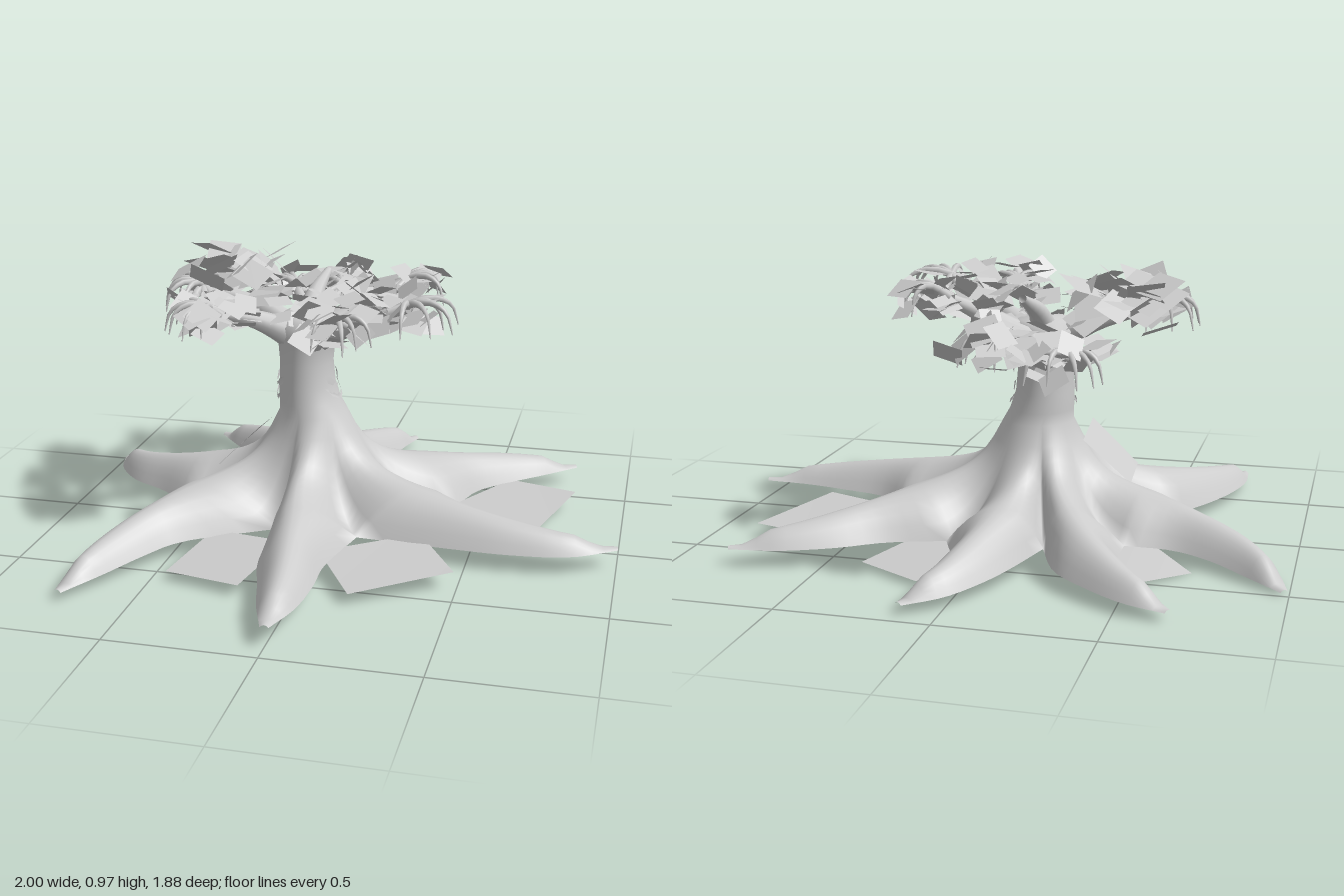
import * as THREE from 'three';
import { mergeGeometries, mergeVertices } from 'three/addons/utils/BufferGeometryUtils.js';

const V = (x, y, z) => new THREE.Vector3(x, y, z);
let seed = 11;
const rnd = () => (seed = (seed * 16807) % 2147483647) / 2147483647;
const spread = (s) => (rnd() * 2 - 1) * s;

// Skin a list of equal-length point rings
function loft(rings, closed) {
  const n = rings[0].length, pos = [], idx = [];
  rings.forEach((r) => r.forEach((p) => pos.push(p.x, p.y, p.z)));
  for (let i = 0; i < rings.length - 1; i++) {
    for (let j = 0; j < (closed ? n : n - 1); j++) {
      const a = i * n + j, b = i * n + (j + 1) % n;
      idx.push(a, a + n, b, b, a + n, b + n);
    }
  }
  const g = new THREE.BufferGeometry();
  g.setAttribute('position', new THREE.Float32BufferAttribute(pos, 3));
  g.setIndex(idx);
  return g;
}

// Round tube that narrows from r0 to r1
function taperTube(points, r0, r1, segs, sides) {
  const curve = new THREE.CatmullRomCurve3(points), rings = [];
  for (let i = 0; i <= segs; i++) {
    const c = curve.getPoint(i / segs), d = curve.getTangent(i / segs), r = r0 + (r1 - r0) * i / segs;
    const u = V(0, 0, 0).crossVectors(d, V(0.02, 1, 0.03)).normalize(), w = V(0, 0, 0).crossVectors(d, u);
    rings.push(Array.from({ length: sides }, (_, j) => {
      const a = -j / sides * Math.PI * 2;
      return c.clone().addScaledVector(u, Math.cos(a) * r).addScaledVector(w, Math.sin(a) * r);
    }));
  }
  const g = loft(rings, true);
  g.computeVertexNormals();
  return g;
}

// Trunk outline: y, min x, max x, min z, max z
const TRUNK = [
  [0.42, -0.225, 0.015, -0.222, 0.045], [0.46, -0.225, -0.008, -0.215, 0.036], [0.52, -0.225, -0.028, -0.21, 0.028],
  [0.6, -0.222, -0.035, -0.205, 0.025], [0.66, -0.228, -0.03, -0.212, 0.025], [0.7, -0.24, -0.015, -0.225, 0.03],
  [0.74, -0.25, 0.0, -0.235, 0.035], [0.77, -0.21, -0.04, -0.2, 0.0], [0.78, -0.13, -0.12, -0.11, -0.1],
];
function trunkPoint(y, a, grow = 0) {
  let i = 0;
  while (i < TRUNK.length - 2 && TRUNK[i + 1][0] < y) i++;
  const A = TRUNK[i], B = TRUNK[i + 1], t = (y - A[0]) / (B[0] - A[0]);
  const [, x0, x1, z0, z1] = A.map((v, k) => v + (B[k] - v) * t);
  return V((x0 + x1) / 2 + Math.cos(a) * ((x1 - x0) / 2 + grow), y, (z0 + z1) / 2 + Math.sin(a) * ((z1 - z0) / 2 + grow));
}

// Roots in order round the trunk: ridge [x, z] out to the tip, tip height
const ROOTS = [
  [[[0.2, 0.04], [0.5, 0.12], [0.82, 0.145], [1.0, 0.1]], 0.065],
  [[[0.14, -0.2], [0.35, -0.37], [0.57, -0.55], [0.8, -0.67]], 0.06],
  [[[-0.08, -0.35], [-0.03, -0.6], [0.03, -0.8], [0.12, -0.94]], 0.03],
  [[[-0.24, -0.34], [-0.37, -0.54], [-0.52, -0.7], [-0.67, -0.8]], 0.03],
  [[[-0.38, -0.12], [-0.62, -0.18], [-0.82, -0.29], [-0.985, -0.49]], 0.01],
  [[[-0.34, 0.08], [-0.54, 0.28], [-0.66, 0.52], [-0.735, 0.78]], 0.03],
  [[[-0.09, 0.18], [-0.05, 0.42], [-0.01, 0.7], [0.0, 0.93]], 0.065],
];
// Where each root's near side parts from its neighbour
const VALLEYS = [[0.12, 0.2], [0.4, -0.1], [0.13, -0.42], [-0.2, -0.42], [-0.45, -0.32], [-0.55, 0.05], [-0.18, 0.2]];
const N = 10;

// Trunk and roots as one smooth skin, hollow below
function trunkAndRoots() {
  const angles = VALLEYS.map(([x, z]) => Math.atan2(z + 0.088, x + 0.105));
  for (let i = 1; i < 7; i++) while (angles[i] > angles[i - 1]) angles[i] -= Math.PI * 2;
  angles.push(angles[0] - Math.PI * 2);
  const around = (k, j) => angles[k] + (angles[k + 1] - angles[k]) * j / N;
  const parts = [loft(TRUNK.map(([y]) => Array.from({ length: 7 * N }, (_, j) => trunkPoint(y, around(Math.floor(j / N), j % N)))).reverse(), true)];

  ROOTS.forEach(([path, tipY], k) => {
    const start = trunkPoint(0.42, around(k, N / 2));
    const ridge = new THREE.CatmullRomCurve3([V(start.x, 0, start.z), ...path.map(([x, z]) => V(x, 0, z))]);
    const edges = [0, 1].map((s) => {
      const [vx, vz] = VALLEYS[(k + s) % 7], top = trunkPoint(0.42, angles[(k + s) % 7]);
      const free = new THREE.CatmullRomCurve3([V(vx, 0.06, vz), ...[[0.49, 0.11], [0.66, 0.09], [0.84, 0.062], [1, 0.014]].map(([t, w]) => {
        const c = ridge.getPointAt(t), d = ridge.getTangentAt(t), sign = s ? 1 : -1;
        return V(c.x + d.z * w * sign, 0.06 + (tipY - 0.06) * t * t, c.z - d.x * w * sign);
      })]);
      return (row) => {
        if (row > 10) return free.getPoint((row - 10) / 14);
        const f = row / 10;
        return V(top.x + (vx - top.x) * f, 0.06 + 0.36 * (1 - f) ** 2.1, top.z + (vz - top.z) * f);
      };
    });
    const rings = [];
    for (let row = 0; row <= 24; row++) {
      const t = row <= 10 ? 0.32 * row / 10 : 0.32 + 0.68 * (row - 10) / 14;
      const L = edges[0](row), R = edges[1](row), M = ridge.getPointAt(t);
      const y = 0.16 * Math.exp(-t / 0.07) + 0.26 - 0.17 * t + (tipY - 0.06) * t * 0.6 - 0.06 * THREE.MathUtils.smoothstep(t, 0.85, 1);
      M.y = Math.max(y, (L.y + R.y) / 2 + 0.008);
      rings.push(Array.from({ length: N + 1 }, (_, j) => {
        if (row === 0) return trunkPoint(0.42, around(k, j));
        const u = j / N * 2 - 1, bend = L.clone().add(R).multiplyScalar(0.5).sub(M);
        return M.clone().addScaledVector(R.clone().sub(L), u / 2).addScaledVector(bend, u * u);
      }));
    }
    parts.push(loft(rings, false));
  });
  const skin = mergeVertices(mergeGeometries(parts));
  skin.computeVertexNormals();
  return skin;
}

// Leaf card, mostly lying flat
function leaf(p, size) {
  const g = new THREE.PlaneGeometry(size * (0.8 + rnd() * 0.4), size);
  g.rotateX(-Math.PI / 2 + spread(0.9));
  g.rotateZ(spread(0.6));
  g.rotateY(rnd() * 6.28);
  return g.translate(p.x, p.y, p.z);
}

// Flat four-cornered card
function card(corners) {
  const g = new THREE.BufferGeometry();
  g.setAttribute('position', new THREE.Float32BufferAttribute(corners.flat(), 3));
  g.setIndex([0, 2, 1, 0, 3, 2]);
  g.computeVertexNormals();
  return g;
}

// Carved face wrapped around the trunk at a heading
function faceGeometry(heading) {
  const outline = (pts) => new THREE.Shape(pts.map(([x, y]) => new THREE.Vector2(x, y)));
  const eye = (s) => outline([[s * 0.012, 0.527], [s * 0.035, 0.522], [s * 0.06, 0.535], [s * 0.07, 0.565], [s * 0.04, 0.552]]);
  const nose = outline([[-0.008, 0.513], [0.008, 0.513], [0, 0.526]]);
  const grin = [];
  for (let i = 0; i <= 12; i++) grin.push([-0.075 + i * 0.0125, 0.482 + 0.036 * ((i - 6) / 6) ** 2 + (i % 2) * 0.008]);
  for (let i = 11; i >= 1; i--) grin.push([-0.075 + i * 0.0125, 0.466 + 0.045 * ((i - 6) / 6) ** 2 + (i % 2) * 0.006]);
  const g = new THREE.ShapeGeometry([eye(1), eye(-1), nose, outline(grin)]);
  const p = g.attributes.position;
  for (let i = 0; i < p.count; i++) {
    const q = trunkPoint(p.getY(i), heading - p.getX(i) / 0.11, 0.009);
    p.setXYZ(i, q.x, q.y, q.z);
  }
  g.computeVertexNormals();
  return g;
}

export function createModel() {
  const model = new THREE.Group();
  const grey = new THREE.MeshStandardMaterial({ color: 0xcccccc, side: THREE.DoubleSide });
  grey.name = 'pale grey';
  const add = (name, geometry) => {
    const m = new THREE.Mesh(geometry, grey);
    m.name = name;
    model.add(m);
  };

  add('trunkAndRoots', trunkAndRoots());
  for (const h of [0, 2.75]) add('carvedFace', faceGeometry(h));

  // Cards on the ground between the roots, one leaning by the trunk
  [
    [[0.57, 0.06, -0.47], [0.82, 0.06, -0.4], [0.71, 0.06, 0.02], [0.39, 0.07, -0.13]],
    [[0.33, 0.07, 0.14], [0.49, 0.06, 0.4], [0.18, 0.04, 0.6], [0.02, 0.06, 0.34]],
    [[-0.38, 0.06, 0.25], [-0.1, 0.07, 0.31], [-0.18, 0.04, 0.62], [-0.45, 0.03, 0.55]],
    [[0.14, 0.02, -0.71], [0.37, 0.02, -0.58], [0.22, 0.06, -0.32], [0.0, 0.06, -0.45]],
    [[-0.5, 0.02, -0.58], [-0.32, 0.05, -0.4], [-0.5, 0.05, -0.2], [-0.68, 0.0, -0.36]],
    [[-0.43, 0.21, -0.1], [-0.27, 0.36, -0.13], [-0.26, 0.39, 0.08], [-0.42, 0.23, 0.1]],
  ].forEach((c) => add('groundCard', card(c)));

  // Branches: path, then cluster centre, reach, leaf count, leaf size, twig count
  const clusters = [
    [[[-0.13, 0.65, -0.13], [-0.14, 0.7, -0.32], [-0.1, 0.76, -0.52]], [-0.09, 0.77, -0.57], [0.15, 0.06, 0.13], 25, 0.085, 5],
    [[[-0.13, 0.65, -0.13], [-0.2, 0.69, -0.36], [-0.3, 0.73, -0.6]], [-0.3, 0.73, -0.6], [0.12, 0.07, 0.13], 22, 0.085, 5],
    [[[-0.15, 0.68, -0.1], [-0.3, 0.77, -0.14], [-0.52, 0.83, -0.12]], [-0.42, 0.86, -0.18], [0.16, 0.07, 0.2], 36, 0.115, 7],
    [[[-0.15, 0.68, -0.07], [-0.26, 0.77, 0.05], [-0.4, 0.82, 0.16]], [-0.36, 0.82, 0.18], [0.13, 0.06, 0.11], 26, 0.085, 5],
    [[[-0.11, 0.68, -0.05], [-0.02, 0.77, 0.12], [0.06, 0.83, 0.26]], [0.05, 0.83, 0.27], [0.11, 0.06, 0.13], 24, 0.08, 4],
    [[[-0.1, 0.68, -0.07], [0.08, 0.78, 0.04], [0.27, 0.86, 0.12]], [0.23, 0.86, 0.12], [0.14, 0.06, 0.1], 26, 0.08, 5],
    [[[-0.1, 0.68, -0.12], [0.04, 0.78, -0.2], [0.2, 0.86, -0.25]], [0.15, 0.85, -0.24], [0.18, 0.06, 0.15], 32, 0.085, 4],
    [[[-0.13, 0.7, -0.1], [-0.13, 0.8, -0.2], [-0.11, 0.87, -0.34]], [-0.02, 0.8, -0.05], [0.18, 0.05, 0.13], 16, 0.085, 0],
  ];
  const leaves = [], twigs = [];
  clusters.forEach(([path, c, reach, count, size, twigCount]) => {
    const pts = path.map((p) => V(...p));
    add('branch', taperTube(pts, 0.055, 0.014, 10, 9));
    for (let i = 0; i < count; i++) {
      leaves.push(leaf(V(...c.map((v, k) => v + spread(reach[k]))), size));
    }
    // Drooping twigs fanning from the branch end
    const end = pts[2], out = Math.atan2(end.z + 0.1, end.x + 0.13);
    for (let i = 0; i < twigCount; i++) {
      const a = out + (i - (twigCount - 1) / 2) * 0.5 + spread(0.15), len = 0.11 + rnd() * 0.06;
      const dir = V(Math.cos(a), 0, Math.sin(a));
      const at = (d, y) => end.clone().addScaledVector(dir, d * len).add(V(0, y, 0));
      twigs.push(taperTube([at(-0.4, -0.01), at(0.5, 0.035), at(0.92, 0.01), at(1.08, -0.06)], 0.016, 0.002, 8, 6));
    }
  });
  add('leaves', mergeGeometries(leaves));
  add('twigs', mergeGeometries(twigs));
  return model;
}
